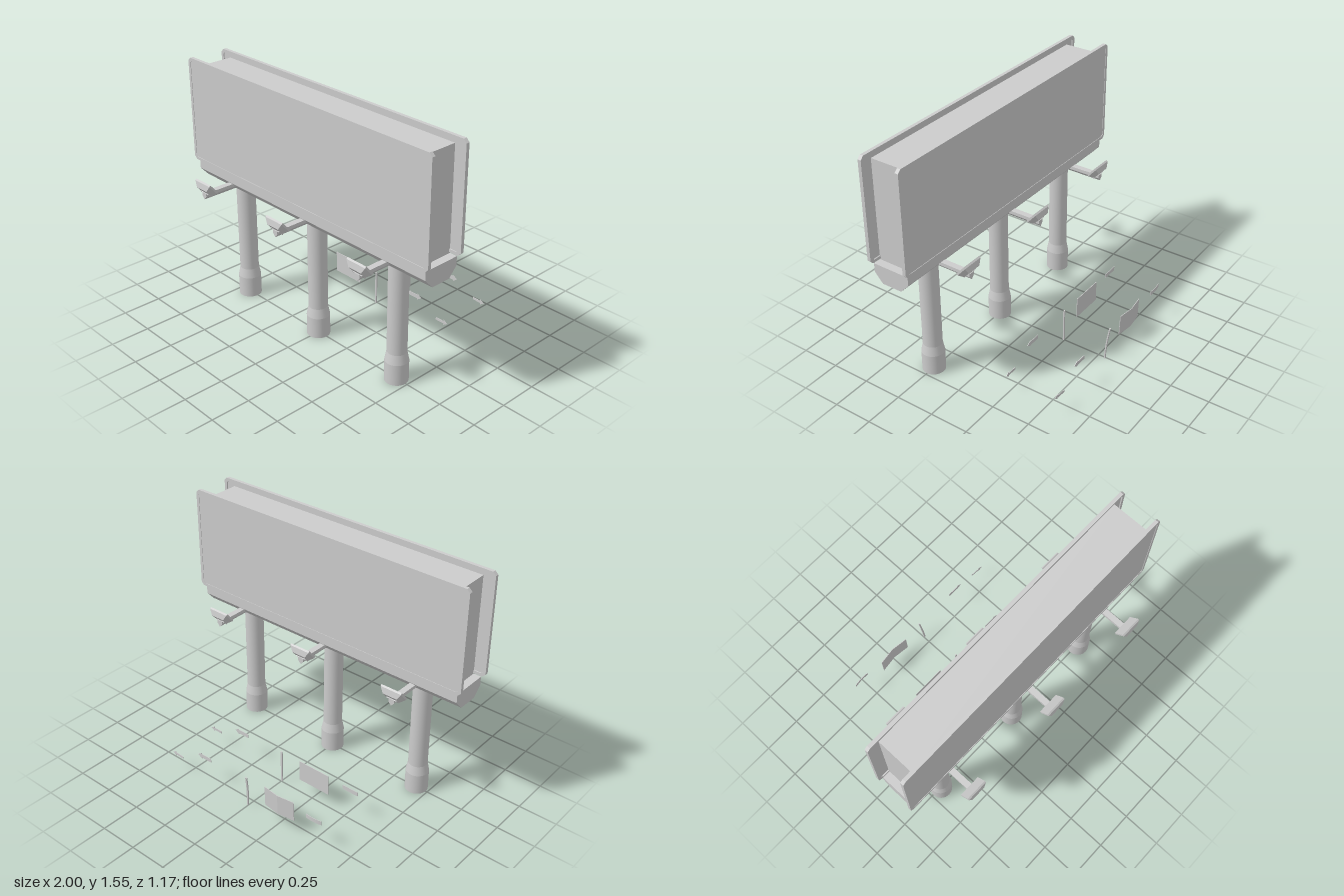
import * as THREE from 'three';

const grey = new THREE.MeshStandardMaterial({ color: 0xcccccc, flatShading: true, side: THREE.DoubleSide });
const smooth = new THREE.MeshStandardMaterial({ color: 0xcccccc });
const MID = 0.252; // z of the billboard's centre plane

function add(parent, name, geometry, x = 0, y = 0, z = 0, material = grey) {
  const mesh = new THREE.Mesh(geometry, material);
  mesh.name = name;
  mesh.position.set(x, y, z);
  parent.add(mesh);
  return mesh;
}

const box = (w, h, d, sx = 1, sy = 1) => new THREE.BoxGeometry(w, h, d, sx, sy);
const shapeOf = (pts) => new THREE.Shape(pts.map(([x, y]) => new THREE.Vector2(x, y)));
const extrude = (shape, depth) => new THREE.ExtrudeGeometry(shape, { depth, bevelEnabled: false });

// Rectangle with cut corners
function cutRect(w, h, c) {
  const x = w / 2, y = h / 2;
  return shapeOf([[-x + c, -y], [x - c, -y], [x, -y + c], [x, y - c], [x - c, y], [-x + c, y], [-x, y - c], [-x, -y + c]]);
}

// Move vertices by a rule
function warp(geometry, rule) {
  const p = geometry.attributes.position, v = new THREE.Vector3();
  for (let i = 0; i < p.count; i++) {
    rule(v.fromBufferAttribute(p, i));
    p.setXYZ(i, v.x, v.y, v.z);
  }
  geometry.computeVertexNormals();
  return geometry;
}

// Display face: raised frame around a slightly recessed sheet
function makePanel() {
  const g = new THREE.Group();
  g.name = 'displayPanel';
  const frame = cutRect(2, 0.665, 0.02);
  frame.holes.push(cutRect(1.96, 0.628, 0.012));
  add(g, 'panelFrame', extrude(frame, 0.022), 0, 1.22, 0.116);
  add(g, 'panelSheet', box(1.97, 0.64, 0.012), 0, 1.22, 0.125);
  return g;
}

// Floodlight tilted up towards the display
function makeLamp() {
  const g = new THREE.Group();
  g.name = 'floodlight';
  add(g, 'lampRim', box(0.14, 0.081, 0.012), 0, 0, 0.006);
  const housing = warp(box(0.14, 0.081, 0.03), (v) => {
    if (v.z > 0) { v.x *= 0.68; v.y = v.y > 0 ? 0.0175 : -0.031; }
  });
  add(g, 'lampHousing', housing, 0, 0, 0.027);
  add(g, 'lampBracket', box(0.066, 0.012, 0.012), 0, -0.024, 0.041);
  for (const s of [-1, 1]) add(g, 'bracketSide', box(0.008, 0.034, 0.014), s * 0.033, -0.032, 0.038);
  g.rotation.x = 0.716;
  return g;
}

// Small arrow plate pointing to +x
function arrow(length, half, stem, head) {
  const a = length / 2, b = a - head;
  return extrude(shapeOf([[-a, -stem], [b, -stem], [b, -half], [a, 0], [b, half], [b, stem], [-a, stem]]), 0.003);
}

// Loose roadside sign parts; the second row is bent
function makeSignParts(z, bent) {
  const g = new THREE.Group();
  g.name = bent ? 'bentSignParts' : 'signParts';
  g.position.z = z;
  const k = bent ? 1 : 0;

  const post = warp(box(0.011, 0.225, 0.008, 1, 6), (v) => {
    const t = v.y / 0.225 + 0.5;
    v.z += k * (0.012 - 0.02 * t * t);
    v.x += k * (0.006 - 0.014 * t);
  });
  add(g, 'signPost', post, 0, 0.1125);

  const plate = warp(box(0.224, 0.138, 0.004, 6, 4), (v) => {
    v.z += k * (0.13 * Math.abs(v.x) - 0.012 + 0.03 * (0.069 - v.y));
  });
  add(g, 'signPlate', plate, -0.257, 0.156);

  const strip = warp(box(0.11, 0.027, 0.003, 6), (v) => {
    v.z += k * (1.6 * v.x * v.x - 0.02 - 0.04 * v.x);
  });
  add(g, 'namePlate', strip, -0.535, 0.206);

  add(g, 'arrowPlate', arrow(0.108, 0.021, 0.013, 0.03), 0.336, 0.206, -0.012 * k);

  const pointer = add(g, 'smallArrow', arrow(0.09, 0.018, 0.008, 0.028), 0.562, 0.122, -0.025 * k);
  pointer.rotation.y = -0.06 * k;
  return g;
}

export function createModel() {
  const model = new THREE.Group();
  model.name = 'billboard';

  // Two back-to-back displays on a box core
  add(model, 'core', box(1.84, 0.63, 0.24), 0, 1.195, MID);
  const back = makePanel(), front = makePanel();
  front.rotation.y = Math.PI;
  front.position.z = MID * 2;
  model.add(back, front);

  // Beam with chamfered underside
  const beam = extrude(shapeOf([[-0.065, 0.765], [0.065, 0.765], [0.12, 0.825], [0.12, 0.88], [-0.12, 0.88], [-0.12, 0.825]]), 1.94);
  const beamMesh = add(model, 'beam', beam, -0.97, 0, MID);
  beamMesh.rotation.y = Math.PI / 2;

  // Posts, lamp arms and floodlights
  const postProfile = [[0, 0], [0.0715, 0], [0.0715, 0], [0.0715, 0.135], [0.0715, 0.135], [0.0595, 0.195], [0.0595, 0.195], [0.0595, 0.775]]
    .map(([r, y]) => new THREE.Vector2(r, y));
  const postGeometry = new THREE.LatheGeometry(postProfile, 32);
  const armShape = shapeOf([[0, 0.775], [0.019, 0.797], [0.019, 0.818], [-0.019, 0.818], [-0.019, 0.797]]);
  for (const x of [-0.667, 0, 0.667]) {
    add(model, 'post', postGeometry, x, 0, MID, smooth);
    add(model, 'lampArm', extrude(armShape, 0.632), x, 0, MID - 0.316);
    for (const side of [0, 1]) {
      const mount = new THREE.Group();
      mount.name = 'lampMount';
      const lamp = makeLamp();
      lamp.position.set(0, 0.8605, 0.29);
      mount.add(lamp);
      add(mount, 'lampFoot', box(0.03, 0.025, 0.028), 0, 0.82, 0.297);
      mount.position.set(x, 0, MID);
      mount.rotation.y = side * Math.PI;
      model.add(mount);
    }
  }

  model.add(makeSignParts(-0.243, false), makeSignParts(-0.559, true));
  return model;
}
